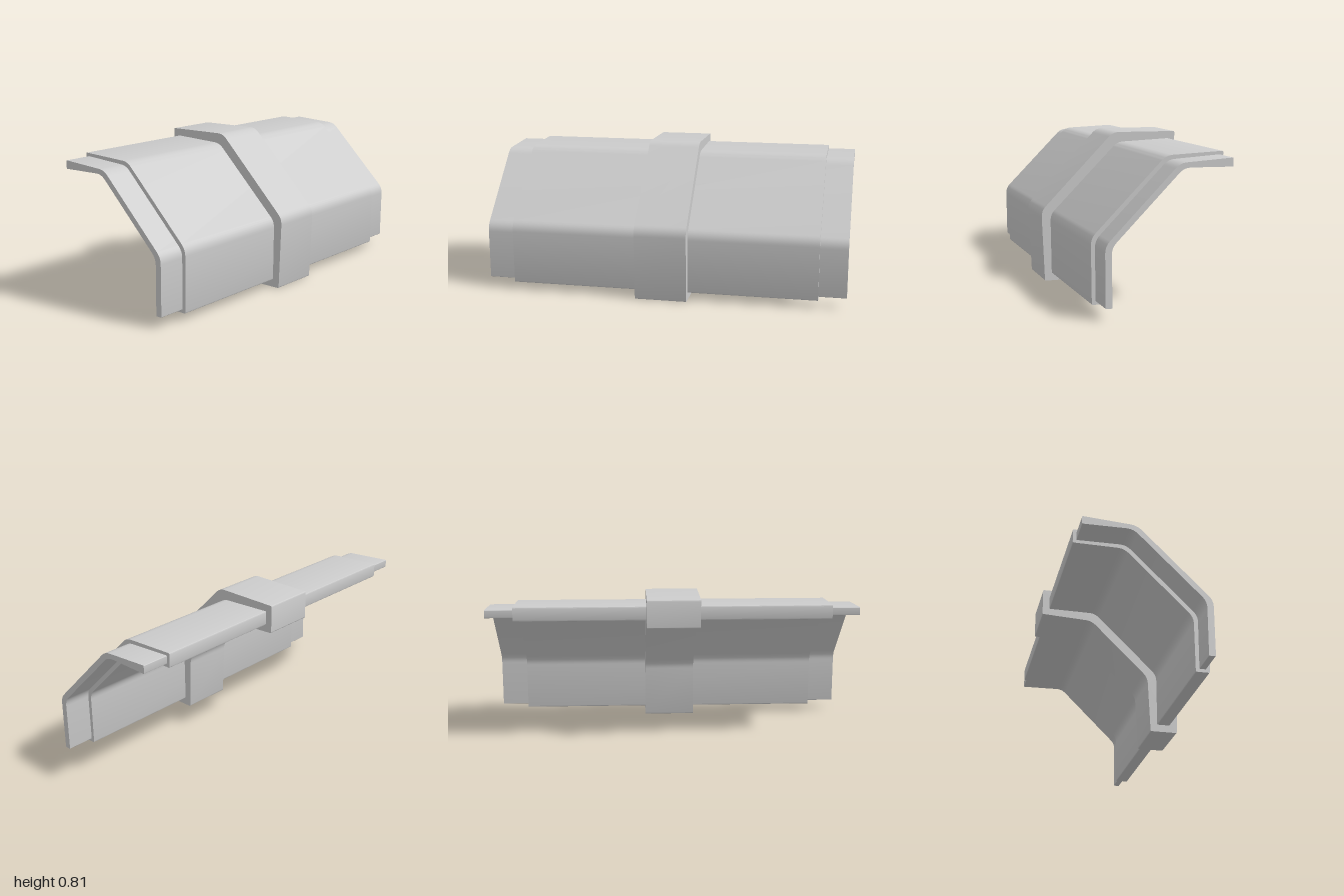
import * as THREE from 'three';
import { toCreasedNormals } from 'three/addons/utils/BufferGeometryUtils.js';

const material = new THREE.MeshStandardMaterial({ color: 0xcccccc });

// Closed outline from [z, y, trim] corners, each rounded off by its trim length
function roundedShape(corners) {
  const shape = new THREE.Shape();
  const pts = corners.map(([z, y]) => new THREE.Vector2(-z, y));
  const n = pts.length;
  for (let i = 0; i < n; i++) {
    const p = pts[i], trim = corners[i][2];
    const toward = (q) => q.clone().sub(p).setLength(trim).add(p);
    const a = toward(pts[(i + n - 1) % n]);
    const b = toward(pts[(i + 1) % n]);
    if (i === 0) shape.moveTo(a.x, a.y);
    else shape.lineTo(a.x, a.y);
    shape.quadraticCurveTo(p.x, p.y, b.x, b.y);
  }
  shape.closePath();
  return shape;
}

// Bent plate: the outline swept along x, centred on x = 0
function bentPlate(name, halfWidth, corners) {
  const geometry = new THREE.ExtrudeGeometry(roundedShape(corners), {
    depth: halfWidth * 2, bevelEnabled: false, curveSegments: 6,
  });
  geometry.translate(0, 0, -halfWidth).rotateY(Math.PI / 2);
  const mesh = new THREE.Mesh(toCreasedNormals(geometry, 0.6), material);
  mesh.name = name;
  return mesh;
}

export function createModel() {
  const group = new THREE.Group();
  group.name = 'bentArmourPlate';
  const bend = 0.035, edge = 0.007;

  // Thin core plate, showing as a tongue at both ends
  group.add(bentPlate('endTongues', 1, [
    [0.317, 0.058, 0.004], [0.32, 0.359, bend], [-0.057, 0.737, bend], [-0.334, 0.753, 0.004],
    [-0.334, 0.709, 0.004], [-0.077, 0.714, bend], [0.287, 0.35, bend], [0.283, 0.058, 0.004],
  ]));

  // Main plate
  group.add(bentPlate('mainPlate', 0.85, [
    [0.336, 0.041, edge], [0.341, 0.37, bend], [-0.047, 0.758, bend], [-0.352, 0.77, edge],
    [-0.352, 0.692, edge], [-0.088, 0.692, bend], [0.265, 0.339, bend], [0.264, 0.041, edge],
  ]));

  // Thick band around the middle
  group.add(bentPlate('centreBand', 0.143, [
    [0.375, 0, edge], [0.392, 0.392, bend], [-0.022, 0.813, bend], [-0.39, 0.809, edge],
    [-0.39, 0.655, edge], [-0.108, 0.642, bend], [0.214, 0.321, bend], [0.226, 0, edge],
  ]));

  return group;
}
